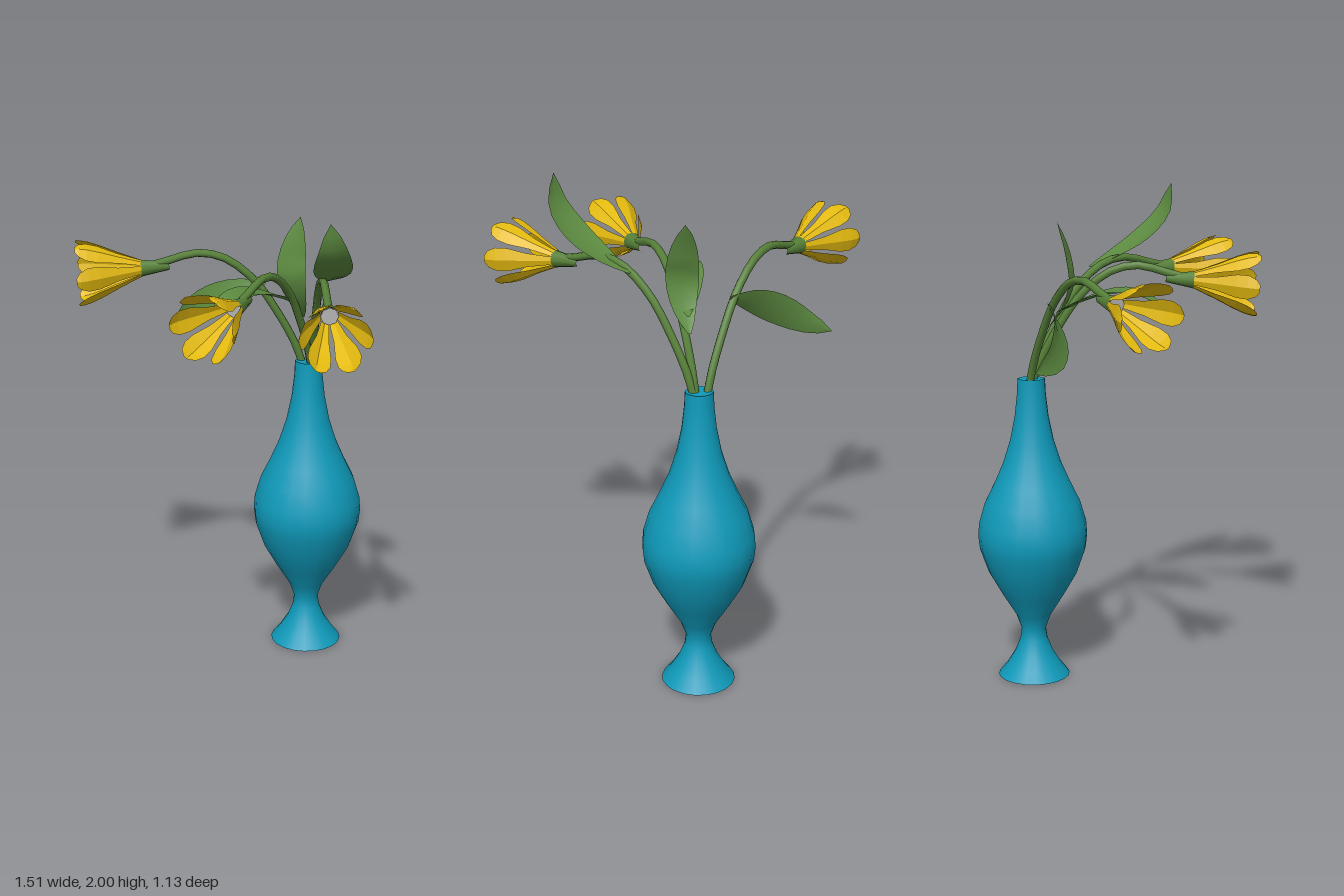
import * as THREE from 'three';

const V = (x, y, z) => new THREE.Vector3(x, y, z);

function material(name, color, options = {}) {
  const m = new THREE.MeshStandardMaterial({ color, ...options });
  m.name = name;
  return m;
}

function part(name, geometry, mat) {
  const mesh = new THREE.Mesh(geometry, mat);
  mesh.name = name;
  return mesh;
}

// Folded strip: each row gives a centre, a sideways vector, a half width and a midrib offset
function foldedStrip(rows) {
  const positions = [], index = [];
  rows.forEach(({ centre, side, half, rib }, i) => {
    for (const s of [-1, 0, 1]) {
      const p = centre.clone().addScaledVector(side, s * half);
      if (s === 0) p.add(rib);
      positions.push(p.x, p.y, p.z);
    }
    if (i === 0) return;
    for (const k of [0, 1]) {
      const a = (i - 1) * 3 + k, b = a + 1, c = a + 3, d = a + 4;
      index.push(a, b, d, a, d, c);
    }
  });
  const g = new THREE.BufferGeometry();
  g.setAttribute('position', new THREE.Float32BufferAttribute(positions, 3));
  g.setIndex(index);
  g.computeVertexNormals();
  return g;
}

// Leaf along a curve, widest just past the middle
function leafGeometry(points, sideHint, half) {
  const curve = new THREE.CatmullRomCurve3(points.map(p => V(...p)));
  const rows = [], n = 10;
  for (let i = 0; i <= n; i++) {
    const t = i / n, tangent = curve.getTangentAt(t);
    const side = V(...sideHint);
    side.addScaledVector(tangent, -side.dot(tangent)).normalize();
    const normal = side.clone().cross(tangent);
    const w = half * Math.pow(Math.sin(Math.PI * Math.pow(t, 1.1)), 0.75) + 0.006 * (1 - t);
    if (normal.y < 0) normal.negate();
    rows.push({ centre: curve.getPointAt(t), side, half: w, rib: normal.multiplyScalar(-0.2 * w) });
  }
  return foldedStrip(rows);
}

// Petal flaring out from the +z axis
function petalGeometry() {
  const rows = [[0, 0.016], [0.35, 0.027], [0.65, 0.046], [0.82, 0.047], [0.94, 0.034], [1, 0.013]];
  return foldedStrip(rows.map(([t, half]) => ({
    centre: V(0.03 + 0.1 * t, 0, 0.255 * t),
    side: V(0, 1, 0),
    half,
    rib: V(0.93, 0, -0.36).multiplyScalar(0.3 * half),
  })));
}

export function createModel() {
  const model = new THREE.Group();
  const blue = material('vaseBlue', 0x0f9aba);
  const green = material('stemGreen', 0x568038);
  const leafGreen = material('leafGreen', 0x5c8a40, { side: THREE.DoubleSide });
  const yellow = material('petalYellow', 0xe2b90f, { side: THREE.DoubleSide, flatShading: true });
  const grey = material('paleGrey', 0xb8b8b8);

  // Vase: smooth turned body, closed mouth and base
  const vase = new THREE.Group();
  vase.name = 'vase';
  vase.position.set(0.012, 0, -0.338);
  const profile = [
    [0.147, 0], [0.112, 0.045], [0.078, 0.1], [0.056, 0.155], [0.05, 0.2], [0.072, 0.26],
    [0.128, 0.35], [0.182, 0.445], [0.217, 0.545], [0.223, 0.6], [0.219, 0.655], [0.194, 0.74],
    [0.155, 0.82], [0.118, 0.905], [0.088, 1.0], [0.068, 1.1], [0.058, 1.19], [0.055, 1.255],
  ].map(([r, y]) => new THREE.Vector2(r, y));
  vase.add(part('vaseBody', new THREE.LatheGeometry(profile, 20), blue));
  const mouth = part('vaseMouth', new THREE.CircleGeometry(0.055, 20), blue);
  mouth.rotation.x = -Math.PI / 2;
  mouth.position.y = 1.25;
  const base = part('vaseBase', new THREE.CircleGeometry(0.147, 20), grey);
  base.rotation.x = Math.PI / 2;
  vase.add(mouth, base);
  model.add(vase);

  // Arching stems, each ending in a trumpet flower
  const arch = [[0, 1.22], [0.035, 1.32], [0.11, 1.46], [0.2, 1.59], [0.32, 1.685],
    [0.43, 1.708], [0.54, 1.68], [0.65, 1.65]];
  const petal = petalGeometry();
  const flowers = [
    ['left', [0.03, -0.34], [0.48, 0.14]],
    ['middle', [0.025, -0.34], [0.155, 0.295]],
    ['right', [-0.015, -0.34], [-0.485, 0.115]],
  ];
  for (const [name, [x0, z0], [x1, z1]] of flowers) {
    const path = arch.map(([r, y]) => {
      const t = r / 0.65;
      return V(x0 + (x1 - x0) * t, y, z0 + (z1 - z0) * t);
    });
    const curve = new THREE.CatmullRomCurve3(path);
    model.add(part(name + 'Stem', new THREE.TubeGeometry(curve, 16, 0.016, 7), green));

    const flower = new THREE.Group();
    flower.name = name + 'Flower';
    flower.position.set(x1, 1.65, z1);
    flower.lookAt(x1 + (x1 - x0), 1.65 - 0.04, z1 + (z1 - z0));
    const calyx = part('calyx', new THREE.CylinderGeometry(0.036, 0.016, 0.12, 8, 1, true), green);
    calyx.rotation.x = Math.PI / 2;
    calyx.position.z = -0.052;
    const centre = part('flowerCentre', new THREE.CircleGeometry(0.034, 8), grey);
    centre.position.z = 0.007;
    flower.add(calyx, centre);
    for (let i = 0; i < 6; i++) {
      const p = part('petal', petal, yellow);
      p.rotation.z = i * Math.PI / 3;
      flower.add(p);
    }
    model.add(flower);
  }

  // Leaves: path, sideways direction, half width
  const leaves = [
    ['leftLeaf', [[0.24, 1.675, -0.15], [0.33, 1.725, -0.06], [0.41, 1.79, 0.03],
      [0.47, 1.885, 0.11], [0.48, 1.995, 0.14]], [0.73, 0, -0.68], 0.07],
    ['rightLeaf', [[-0.13, 1.58, -0.23], [-0.24, 1.535, -0.16], [-0.34, 1.48, -0.125],
      [-0.44, 1.425, -0.125], [-0.548, 1.39, -0.175]], [-0.4, 0.9, -0.3], 0.066],
    ['frontLeaf', [[0.035, 1.52, -0.24], [0.02, 1.585, -0.12], [0.0, 1.625, 0.0],
      [-0.02, 1.62, 0.11], [-0.03, 1.575, 0.21]], [1, 0, 0.1], 0.07],
    ['uprightLeaf', [[0.035, 1.46, -0.27], [0.045, 1.56, -0.205], [0.045, 1.66, -0.178],
      [0.045, 1.77, -0.195], [0.045, 1.878, -0.235]], [1, 0, -0.1], 0.064],
  ];
  for (const [name, points, side, half] of leaves) {
    model.add(part(name, leafGeometry(points, side, half), leafGreen));
  }
  return model;
}
